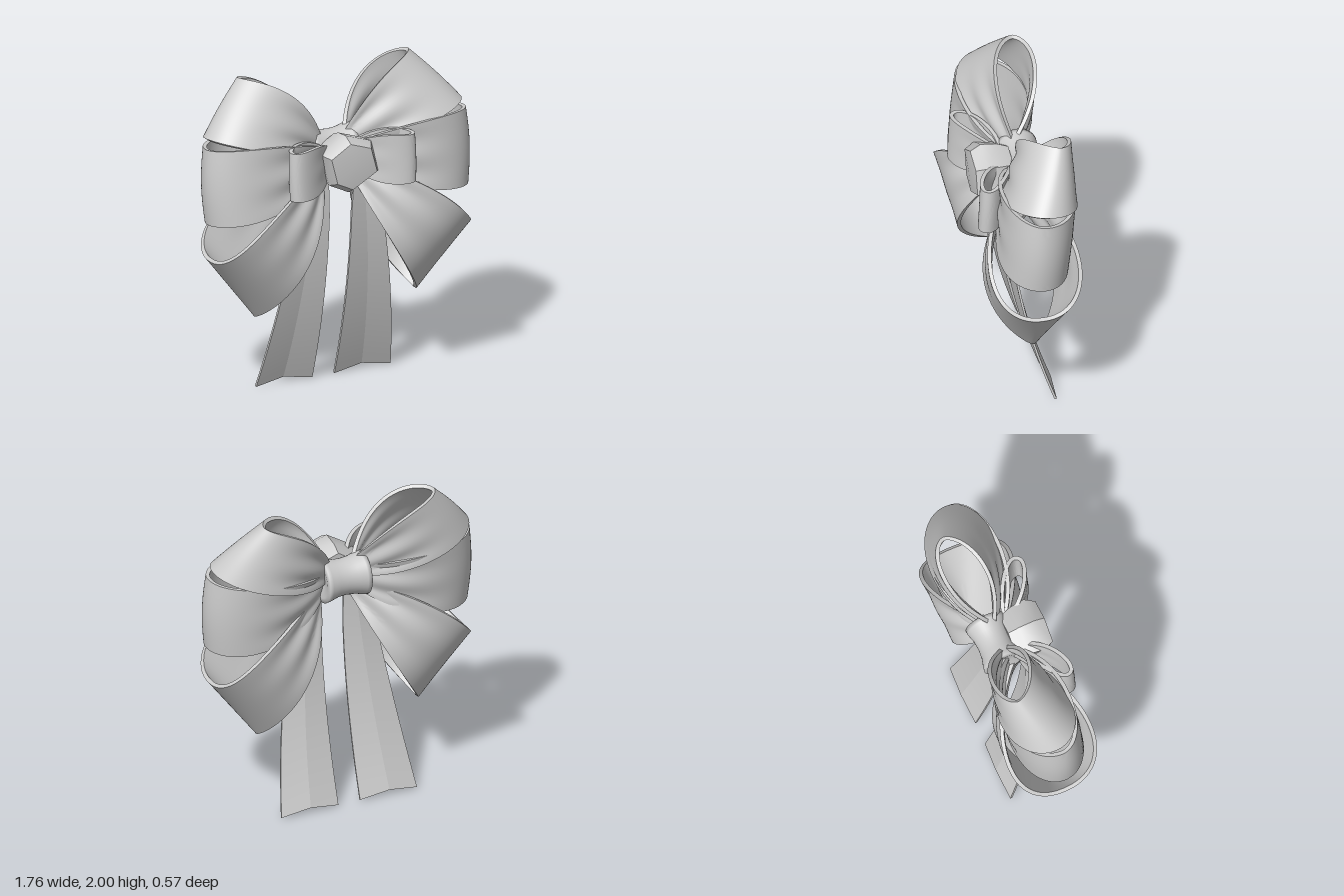
import * as THREE from 'three';
import { toCreasedNormals } from 'three/addons/utils/BufferGeometryUtils.js';
import { ConvexGeometry } from 'three/addons/geometries/ConvexGeometry.js';

const satin = new THREE.MeshStandardMaterial({ color: 0xcccccc });
satin.name = 'satinGrey';

const lerp = THREE.MathUtils.lerp;
const bezier = (a, b, c, s) => (1 - s) * (1 - s) * a + 2 * s * (1 - s) * b + s * s * c;

// Thick strip of cloth following a surface point(u, v), with closed edges
function ribbon(point, nu, nv, thickness, crease) {
  const pos = [], idx = [];
  const e = 0.002, row = nv + 1, layer = (nu + 1) * row;
  for (const side of [0.5, -0.5]) {
    for (let i = 0; i <= nu; i++) for (let j = 0; j <= nv; j++) {
      const u = i / nu, v = j / nv;
      const du = point(Math.min(1, u + e), v).sub(point(Math.max(0, u - e), v));
      const dv = point(u, Math.min(1, v + e)).sub(point(u, Math.max(0, v - e)));
      const n = du.cross(dv).normalize();
      const p = point(u, v).addScaledVector(n, side * thickness);
      pos.push(p.x, p.y, p.z);
    }
  }
  const quad = (a, b, c, d) => idx.push(a, b, c, a, c, d);
  const at = (i, j, k) => k * layer + i * row + j;
  for (let i = 0; i < nu; i++) {
    for (let j = 0; j < nv; j++) {
      quad(at(i, j, 0), at(i + 1, j, 0), at(i + 1, j + 1, 0), at(i, j + 1, 0));
      quad(at(i, j, 1), at(i, j + 1, 1), at(i + 1, j + 1, 1), at(i + 1, j, 1));
    }
    quad(at(i, 0, 0), at(i, 0, 1), at(i + 1, 0, 1), at(i + 1, 0, 0));
    quad(at(i, nv, 0), at(i + 1, nv, 0), at(i + 1, nv, 1), at(i, nv, 1));
  }
  for (let j = 0; j < nv; j++) {
    quad(at(0, j, 0), at(0, j + 1, 0), at(0, j + 1, 1), at(0, j, 1));
    quad(at(nu, j, 0), at(nu, j, 1), at(nu, j + 1, 1), at(nu, j + 1, 0));
  }
  const geo = new THREE.BufferGeometry();
  geo.setAttribute('position', new THREE.Float32BufferAttribute(pos, 3));
  geo.setIndex(idx);
  return toCreasedNormals(geo, crease);
}

// Each loop spans two edges, a (upper) and b (lower), running from root to tip;
// front and back are how far the edge swells in z, point sharpens its tip
const loops = {
  upperLoop: {
    a: { root: [0.08, 1.58, -0.05], ctrl: [0.24, 1.94], tip: [0.56, 1.99, -0.17], front: 0.115, back: 0.125, point: 1.2 },
    b: { root: [0.08, 1.47, -0.03], ctrl: [0.42, 1.56], tip: [0.835, 1.69, -0.04], front: 0.19, back: 0.215, point: 1 },
    tilt: 0.12, skew: 0, fold: 0.012, bulge: 0.01,
  },
  middleLoop: {
    a: { root: [0.08, 1.53, 0], ctrl: [0.34, 1.66], tip: [0.85, 1.64, -0.01], front: 0.17, back: 0.24, point: 1 },
    b: { root: [0.08, 1.4, 0], ctrl: [0.42, 1.17], tip: [0.85, 1.17, 0.01], front: 0.19, back: 0.2, point: 1 },
    tilt: 0.1, skew: 0, fold: 0.012, bulge: 0.018,
  },
  lowerLoop: {
    a: { root: [0.1, 1.43, 0.02], ctrl: [0.58, 1.3], tip: [0.84, 0.94, 0], front: 0.265, back: 0.27, point: 0.9 },
    b: { root: [0.1, 1.33, 0.03], ctrl: [0.2, 0.98], tip: [0.53, 0.53, -0.01], front: 0.22, back: 0.21, point: 1.6 },
    tilt: 0, skew: 0, fold: 0.012, bulge: 0,
  },
  smallFrontLoop: {
    a: { root: [0.08, 1.54, 0.03], ctrl: [0.2, 1.65], tip: [0.395, 1.62, 0.24], front: 0.045, back: 0.055, point: 0.9 },
    b: { root: [0.08, 1.4, 0.03], ctrl: [0.2, 1.3], tip: [0.395, 1.32, 0.255], front: 0.045, back: 0.055, point: 0.9 },
    tilt: 0, skew: 0.7, fold: 0.004, bulge: 0.005,
  },
};

function loopPoint(spec, side) {
  // Teardrop edge: s runs outward along the edge, z swells front and back
  const edge = (d, t, s) => {
    const wave = Math.sin(t);
    const swell = Math.sign(wave) * Math.pow(Math.abs(wave), d.point);
    const off = swell > 0
      ? swell * Math.sin(t / 2) / 0.77 * d.front
      : swell * Math.pow(Math.sin(t / 2), 0.7) / 0.82 * d.back;
    return new THREE.Vector3(
      bezier(d.root[0], d.ctrl[0], d.tip[0], s) - spec.skew * off,
      bezier(d.root[1], d.ctrl[1], d.tip[1], s) + spec.tilt * off,
      lerp(d.root[2], d.tip[2], s) + off);
  };
  return (u, v) => {
    const t = lerp(0.3, 2 * Math.PI - 0.3, u);
    const s = (1 - Math.cos(t)) / 2;
    const p = edge(spec.a, t, s).lerp(edge(spec.b, t, s), v);
    // Gathered pleats fade out before the tip
    const fade = 8.8 * s * Math.pow(1 - s, 3);
    p.z += Math.sin(t) * spec.fold * fade * Math.cos(v * Math.PI * 4);
    p.x += spec.bulge * s * Math.sin(Math.PI * v);
    p.x *= side;
    return p;
  };
}

// Hanging tail with a centre crease and notched end
function tailPoint(side) {
  return (u, v) => {
    const crease = 1 - Math.abs(2 * v - 1);
    const inner = lerp(0.085, 0.073, Math.min(1, u * 5));
    const outer = 0.2 + 0.25 * Math.pow(u, 0.75);
    return new THREE.Vector3(
      side * lerp(inner, outer, v),
      lerp(1.39, 0.008 + 0.03 * crease, u),
      0.07 + 0.01 * u - 0.25 * u * u - 0.012 * crease);
  };
}

export function createModel() {
  const bow = new THREE.Group();
  bow.name = 'ribbonBow';
  const add = (name, geo) => {
    const mesh = new THREE.Mesh(geo, satin);
    mesh.name = name;
    bow.add(mesh);
    return mesh;
  };

  for (const side of [1, -1]) {
    const label = side > 0 ? 'Left' : 'Right';
    for (const [name, spec] of Object.entries(loops)) {
      add(name + label, ribbon(loopPoint(spec, side), 80, 20, 0.024, 0.7));
    }
    add('tail' + label, ribbon(tailPoint(side), 24, 2, 0.014, 0.12));
  }

  // Soft faceted front knot, widest near its front
  const outline = [[-0.18, 1.55], [-0.02, 1.65], [0.15, 1.59], [0.2, 1.4], [0.0, 1.285], [-0.13, 1.35]];
  const points = [];
  for (const [scale, z] of [[0.75, 0.0], [0.92, 0.07], [1, 0.17], [0.8, 0.235]]) {
    for (const [x, y] of outline) {
      points.push(new THREE.Vector3(x * scale, 1.47 + (y - 1.47) * scale, z));
    }
  }
  points.push(new THREE.Vector3(0.01, 1.48, 0.25));
  add('frontKnot', toCreasedNormals(new ConvexGeometry(points), 0.75));

  // Waisted band wrapped around the back
  const profile = [[0, -0.12], [0.1, -0.145], [0.13, -0.14], [0.127, -0.115], [0.112, -0.06], [0.107, 0],
    [0.112, 0.06], [0.127, 0.115], [0.13, 0.14], [0.1, 0.145], [0, 0.12]];
  const band = new THREE.LatheGeometry(profile.map(([r, h]) => new THREE.Vector2(r, h)), 40);
  band.rotateZ(Math.PI / 2);
  band.scale(1, 1.05, 1);
  add('backBand', band).position.set(0, 1.49, -0.08);

  return bow;
}
